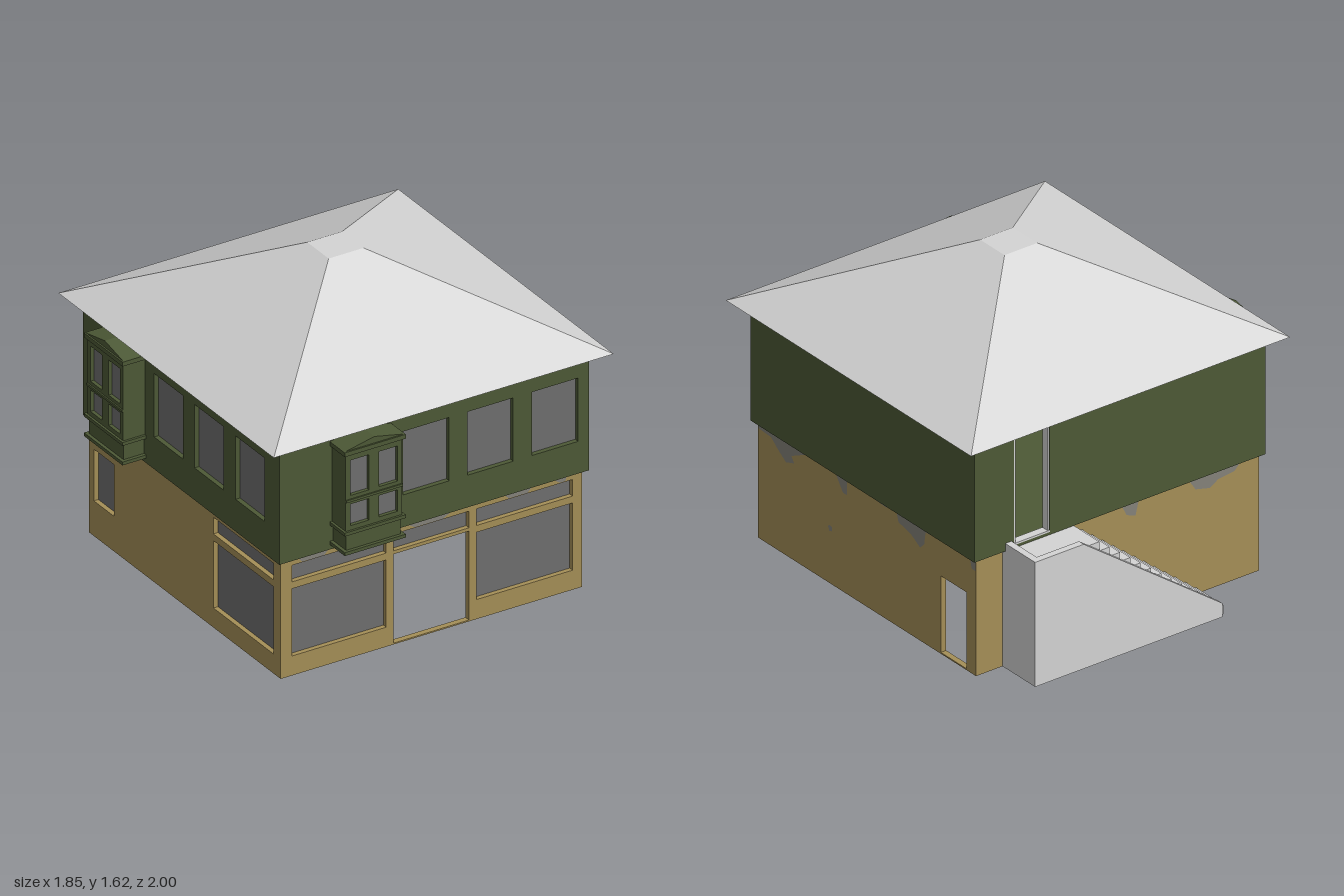
import * as THREE from 'three';

const mat = (name, color, side = THREE.FrontSide) => {
  const m = new THREE.MeshStandardMaterial({ color, side });
  m.name = name;
  return m;
};

export function createModel() {
  const green = mat('green paint', 0x4d5936);
  const tan = mat('tan plaster', 0xa58f57);
  const glass = mat('grey glass', 0x6f6f6f);
  const pale = mat('pale grey', 0xd4d4d4);
  const bare = mat('bare render', 0x84827a, THREE.DoubleSide);

  const house = new THREE.Group();
  house.name = 'house';

  const add = (parent, name, geo, material) => {
    const m = new THREE.Mesh(geo, material);
    m.name = name;
    parent.add(m);
    return m;
  };
  // Box given by its two opposite corners
  const box = (parent, name, material, x0, y0, z0, x1, y1, z1) => {
    const m = add(parent, name, new THREE.BoxGeometry(x1 - x0, y1 - y0, z1 - z0), material);
    m.position.set((x0 + x1) / 2, (y0 + y1) / 2, (z0 + z1) / 2);
    return m;
  };
  const polygon = (pts) => new THREE.Shape(pts.map((p) => new THREE.Vector2(...p)));
  const rect = ([x0, y0, x1, y1]) => [[x0, y0], [x1, y0], [x1, y1], [x0, y1]];
  const prism = (shape, depth) => new THREE.ExtrudeGeometry(shape, { depth, bevelEnabled: false });

  // Group whose local +z is the outward direction of one side
  const side = (name, angle, dist) => {
    const g = new THREE.Group();
    g.name = name;
    g.rotation.y = angle;
    g.position.set(Math.sin(angle) * dist, 0, Math.cos(angle) * dist);
    house.add(g);
    return g;
  };
  // Wall with rectangular holes; outer face at local z = 0
  const wall = (parent, name, material, outline, holes, t = 0.03) => {
    const s = polygon(rect(outline));
    holes.forEach((h) => s.holes.push(new THREE.Path(rect(h).map((p) => new THREE.Vector2(...p)))));
    return add(parent, name, prism(s, t).translate(0, 0, -t), material);
  };
  const panes = (parent, rects, depth = 0.024) => rects.forEach(([x0, y0, x1, y1]) =>
    box(parent, 'windowPane', glass, x0, y0, -depth - 0.006, x1, y1, -depth));
  const patches = (parent, list) => list.forEach((pts) => {
    add(parent, 'worn patch', new THREE.ShapeGeometry(polygon(pts)), bare).position.z = 0.002;
  });

  const H = Math.PI / 2;
  const Y0 = 0.01, Y1 = 0.61, Y2 = 1.22;

  // Ground floor, front: shop windows, transoms and open doorway
  const front = side('groundFront', 0, 0.85);
  const frontGlass = [
    [-0.72, 0.11, -0.22, 0.455], [0.26, 0.11, 0.77, 0.455],
    [-0.72, 0.49, -0.22, 0.575], [-0.18, 0.49, 0.22, 0.575], [0.26, 0.49, 0.77, 0.575],
  ];
  wall(front, 'frontWall', tan, [-0.78, Y0, 0.82, Y1], [...frontGlass, [-0.18, 0.017, 0.22, 0.473]]);
  panes(front, frontGlass);
  patches(front, [
    [[-0.69, 0.61], [-0.67, 0.58], [-0.55, 0.577], [-0.52, 0.61]],
    [[-0.42, 0.61], [-0.4, 0.578], [-0.36, 0.58], [-0.35, 0.61]],
    [[-0.12, 0.61], [-0.07, 0.58], [0.08, 0.578], [0.14, 0.61]],
    [[0.4, 0.61], [0.43, 0.58], [0.53, 0.579], [0.56, 0.61]],
    [[0.66, 0.61], [0.7, 0.58], [0.73, 0.58], [0.74, 0.61]],
  ]);

  // Ground floor, -x side
  const west = side('groundRightSide', -H, 0.78);
  const westGlass = [
    [0.285, 0.11, 0.79, 0.455], [0.285, 0.49, 0.79, 0.575],
    [-0.72, 0.19, -0.55, 0.455], [-0.72, 0.49, -0.55, 0.575],
  ];
  wall(west, 'sideWall', tan, [-0.76, Y0, 0.85, Y1], westGlass);
  panes(west, westGlass);

  // Ground floor, +x side with a doorway
  const east = side('groundLeftSide', H, 0.82);
  wall(east, 'sideWall', tan, [-0.85, Y0, 0.76, Y1], [[0.5, 0.017, 0.69, 0.41]]);
  patches(east, [
    [[-0.85, 0.61], [-0.84, 0.575], [-0.75, 0.57], [-0.7, 0.53], [-0.64, 0.49], [-0.58, 0.51], [-0.6, 0.54],
      [-0.5, 0.59], [-0.44, 0.61]],
    [[-0.32, 0.61], [-0.27, 0.59], [-0.22, 0.52], [-0.19, 0.52], [-0.19, 0.59], [-0.1, 0.595], [0.1, 0.585],
      [0.17, 0.61]],
    [[0.17, 0.61], [0.19, 0.55], [0.28, 0.53], [0.35, 0.49], [0.38, 0.52], [0.39, 0.585], [0.55, 0.6], [0.56, 0.61]],
    [[0.66, 0.61], [0.72, 0.59], [0.73, 0.55], [0.76, 0.55], [0.76, 0.61]],
    [[-0.33, 0.3], [-0.32, 0.28], [-0.3, 0.285], [-0.3, 0.305], [-0.32, 0.31]],
  ]);

  // Ground floor, back
  const back = side('groundBack', Math.PI, 0.76);
  wall(back, 'backWall', tan, [-0.82, Y0, 0.78, Y1], []);
  patches(back, [
    [[0.0, 0.61], [0.03, 0.55], [0.08, 0.53], [0.1, 0.61]],
    [[0.38, 0.61], [0.42, 0.55], [0.5, 0.53], [0.55, 0.56], [0.64, 0.57], [0.68, 0.61]],
  ]);

  // Stepped inner partition
  box(house, 'partition', green, -0.76, Y0, -0.18, 0, Y1, -0.16);
  box(house, 'partition', green, -0.02, Y0, -0.18, 0, Y1, 0.11);
  box(house, 'partition', green, -0.02, Y0, 0.09, 0.8, Y1, 0.11);

  // Projecting bay window centred on c
  const bay = (parent, c) => {
    const g = new THREE.Group();
    g.name = 'bayWindow';
    g.position.x = c;
    parent.add(g);
    box(g, 'bayBody', green, -0.15, 0.74, 0, 0.15, 1.15, 0.09);
    box(g, 'bayApron', green, -0.145, 0.645, 0, 0.145, 0.74, 0.11);
    const lights = [];
    for (const x of [-0.125, 0.027]) lights.push([x, 0.775, x + 0.098, 0.885], [x, 0.93, x + 0.098, 1.11]);
    wall(g, 'bayFrame', green, [-0.15, 0.745, 0.15, 1.15], lights, 0.025).position.z = 0.115;
    lights.forEach(([x0, y0, x1, y1]) => box(g, 'bayPane', glass, x0, y0, 0.09, x1, y1, 0.097));
    box(g, 'bayRail', green, -0.15, 0.9, 0.11, 0.15, 0.912, 0.122);
    for (const [y, h] of [[0.635, 0.017], [0.735, 0.017], [1.142, 0.022]])
      box(g, 'bayMoulding', green, -0.162, y, 0, 0.162, y + h, 0.126);
    add(g, 'bayPediment', prism(polygon([[-0.155, 1.164], [0.155, 1.164], [0, 1.197]]), 0.118), green);
  };

  // Upper floor: bay plus three windows on the front and the -x side
  const upperWindowed = (name, angle, dist, a, b, c) => {
    const g = side(name, angle, dist);
    const holes = [0.35, 0.69, 1.035].map((d) => [c + d - 0.122, 0.775, c + d + 0.122, 1.1]);
    wall(g, 'upperWall', green, [a, Y1, b, Y2], holes);
    panes(g, holes);
    bay(g, c);
  };
  upperWindowed('upperFront', 0, 0.87, -0.8, 0.845, -0.37);
  upperWindowed('upperRightSide', -H, 0.8, -0.78, 0.87, -0.41);
  wall(side('upperLeftSide', H, 0.845), 'upperWall', green, [-0.87, Y1, 0.78, Y2], []);

  // Upper back wall with the doorway at the head of the stairs
  const upperBack = side('upperBack', Math.PI, 0.78);
  wall(upperBack, 'upperWall', green, [-0.845, Y1, 0.8, Y2], [[-0.62, 0.63, -0.42, 1.17]]);
  for (const x of [-0.62, -0.43]) box(upperBack, 'doorJamb', pale, x, 0.63, -0.04, x + 0.01, 1.17, -0.003);
  box(upperBack, 'doorThreshold', pale, -0.62, 0.625, -0.04, -0.42, 0.634, 0.002);

  // Floor between storeys, and ceiling
  box(house, 'upperFloor', green, -0.795, Y1, -0.775, 0.84, Y1 + 0.015, 0.865);
  box(house, 'ceiling', glass, -0.79, 1.19, -0.77, 0.835, 1.21, 0.86);

  // Hipped roof with a small flat top
  const ring = (x0, x1, y, z0, z1) => [[x0, y, z1], [x1, y, z1], [x1, y, z0], [x0, y, z0]];
  const eave = ring(-0.88, 0.925, Y2, -0.86, 0.95);
  const crown = ring(-0.07, 0.115, 1.62, -0.05, 0.13);
  const pos = [];
  const quad = (a, b, c, d) => pos.push(...a, ...b, ...c, ...a, ...c, ...d);
  for (let i = 0; i < 4; i++) {
    const j = (i + 1) % 4;
    quad(eave[i], eave[j], crown[j], crown[i]);
  }
  quad(...crown);
  const roofGeo = new THREE.BufferGeometry();
  roofGeo.setAttribute('position', new THREE.Float32BufferAttribute(pos, 3));
  roofGeo.computeVertexNormals();
  add(house, 'roof', roofGeo, pale);
  const soffit = add(house, 'roofSoffit', new THREE.PlaneGeometry(1.805, 1.81).rotateX(H), green);
  soffit.position.set(0.0225, Y2, 0.045);

  // Outside stairs rising toward +x, with landing and parapet
  const stairs = new THREE.Group();
  stairs.name = 'stairs';
  house.add(stairs);
  const steps = 13, run = 0.0585, rise = 0.61 / steps;
  const profile = [[-0.42, 0]];
  for (let i = 0; i < steps; i++) {
    profile.push([-0.42 + i * run, (i + 1) * rise], [-0.42 + (i + 1) * run, (i + 1) * rise]);
  }
  profile.push([0.64, 0.61], [0.64, Y0], [-0.36, Y0], [-0.36, 0]);
  add(stairs, 'steps', prism(polygon(profile.reverse()), 0.205), pale).position.z = -0.967;
  const parapet = polygon([[-0.39, Y0], [0.67, Y0], [0.67, 0.65], [0.395, 0.65], [-0.39, 0.08]]);
  add(stairs, 'stairParapet', prism(parapet, 0.035), pale).position.z = -1;
  box(stairs, 'landingEndWall', pale, 0.635, Y0, -0.99, 0.67, 0.65, -0.76);

  return house;
}
